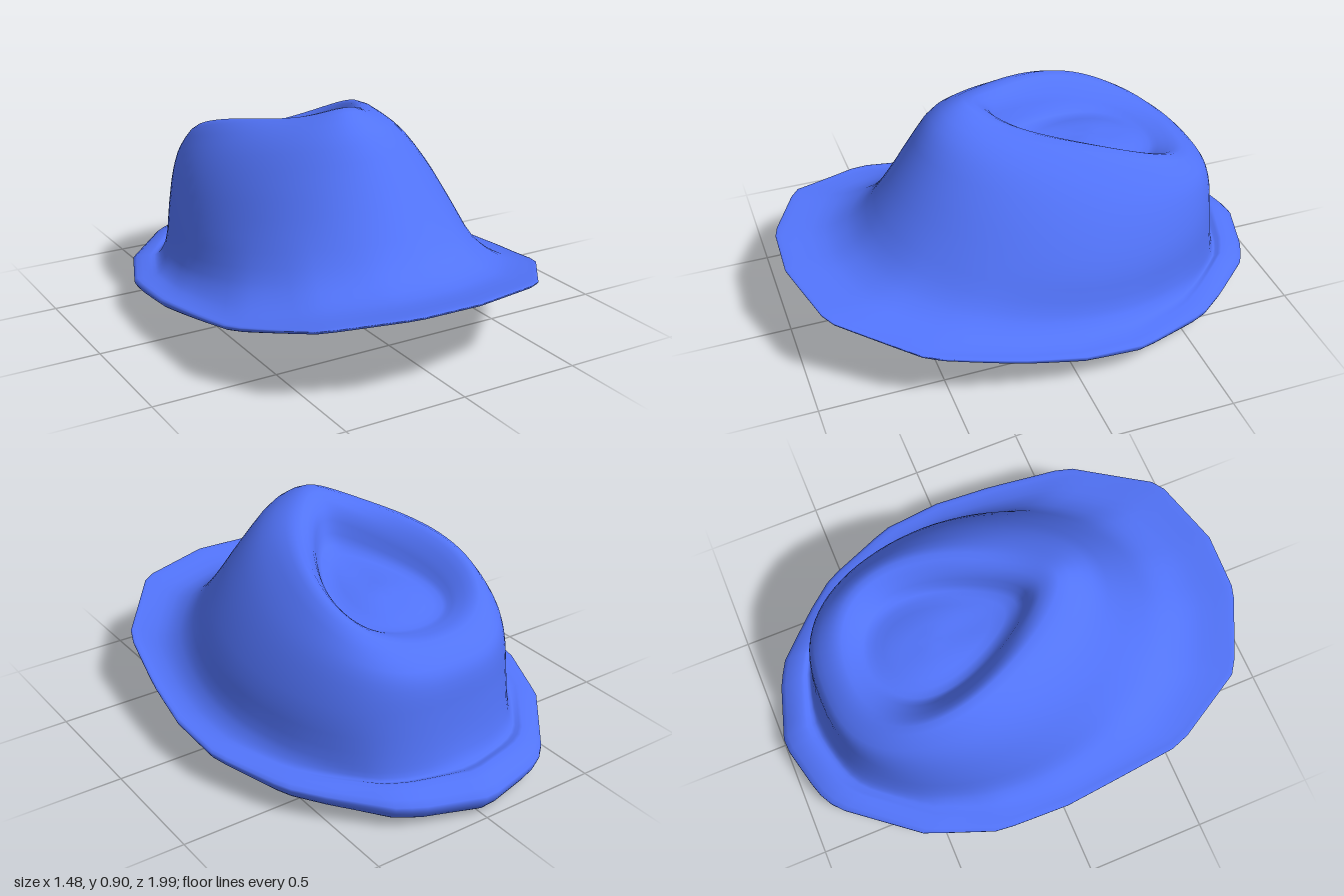
import * as THREE from 'three';
import { mergeVertices } from 'three/addons/utils/BufferGeometryUtils.js';

const SIDES = 80; // points around each ring
const STEPS = 3;  // smoothing steps between rings

// Corners of the uneven brim outline: x, z, from the front round by +x
const outline = [
  [0.06, 1], [0.385, 0.915], [0.64, 0.59], [0.71, 0.25], [0.74, 0], [0.725, -0.25],
  [0.605, -0.56], [0.5, -0.69], [0.33, -0.87], [0.24, -0.92], [-0.02, -1], [-0.27, -0.94],
  [-0.365, -0.89], [-0.61, -0.59], [-0.725, -0.3], [-0.74, 0], [-0.7, 0.52], [-0.515, 0.845],
  [-0.2, 0.99],
].map(([x, z]) => new THREE.Vector2(x / 0.74, z));

// Ring: half width, front z, back z, front y, side y, back y,
// taper (narrower in front), squareness of the back,
// share of the brim outline, extra height at the front tip (negative: back tip).
const lining = [
  [0.00, -0.25, -0.25, 0.625, 0.625, 0.625, 0, 0, 0, 0],
  [0.20, 0.08, -0.55, 0.66, 0.605, 0.56, 0.42, 0, 0, 0],
  [0.30, 0.20, -0.65, 0.80, 0.745, 0.57, 0.42, 0.12, 0, 0.06],
  [0.38, 0.32, -0.72, 0.79, 0.675, 0.52, 0.22, 0.2, 0, 0.02],
  [0.455, 0.43, -0.75, 0.66, 0.55, 0.45, 0.1, 0.2, 0, 0],
  [0.52, 0.535, -0.765, 0.50, 0.39, 0.34, 0.04, 0.2, 0, 0],
  [0.545, 0.62, -0.77, 0.37, 0.24, 0.18, 0, 0.2, 0.3, 0],
  [0.545, 0.68, -0.77, 0.305, 0.15, 0.09, 0, 0.15, 0.6, 0],
];
const brim = [
  [0.57, 0.72, -0.79, 0.305, 0.14, 0.075, 0, 0.1, 0.8, 0],
  [0.63, 0.84, -0.86, 0.315, 0.13, 0.05, 0, 0, 1, -0.02],
  [0.69, 0.96, -0.93, 0.335, 0.125, 0.04, 0, 0, 1, -0.04],
  [0.73, 0.995, -0.985, 0.342, 0.145, 0.075, 0, 0, 1, -0.035],
  [0.74, 1.00, -1.00, 0.352, 0.17, 0.12, 0, 0, 1, -0.03],
  [0.695, 0.965, -0.905, 0.352, 0.18, 0.15, 0, 0, 1, 0],
  [0.64, 0.81, -0.85, 0.335, 0.195, 0.135, 0, 0.1, 0.7, 0],
];
const crown = [
  [0.59, 0.68, -0.815, 0.39, 0.25, 0.19, 0, 0.2, 0.3, 0],
  [0.55, 0.565, -0.79, 0.53, 0.40, 0.36, 0.04, 0.2, 0, 0],
  [0.485, 0.46, -0.78, 0.69, 0.57, 0.48, 0.1, 0.2, 0, 0],
  [0.405, 0.355, -0.755, 0.82, 0.70, 0.54, 0.22, 0.2, 0, 0.02],
  // ridge around the teardrop crease
  [0.305, 0.22, -0.67, 0.83, 0.79, 0.605, 0.4, 0.12, 0, 0.07],
  [0.24, 0.12, -0.60, 0.82, 0.72, 0.605, 0.4, 0, 0, 0.02],
  // groove and the raised floor inside it
  [0.195, 0.06, -0.55, 0.70, 0.64, 0.60, 0.4, 0, 0, 0],
  [0.10, -0.11, -0.46, 0.66, 0.65, 0.625, 0.2, 0, 0, 0],
  [0.00, -0.30, -0.30, 0.655, 0.655, 0.655, 0, 0, 0, 0],
];

// Distance to the straight-edged outline in one direction, against a round one
function outlineReach(direction) {
  let reach = Infinity;
  outline.forEach((corner, i) => {
    const edge = outline[(i + 1) % outline.length].clone().sub(corner);
    const k = corner.cross(edge) / direction.cross(edge);
    if (k > 0) reach = Math.min(reach, k);
  });
  return reach;
}

function ringPoint([w, zf, zb, yf, ys, yb, taper, square, share, tip], t) {
  const s = Math.sin(t), c = Math.cos(t);
  const reach = 1 + share * (outlineReach(new THREE.Vector2(s, c)) - 1);
  const bulge = Math.pow(Math.abs(s), 1 + square * Math.min(c, 0));
  const d = c * reach;
  const y = ys + (yf - yb) / 2 * d + ((yf + yb) / 2 - ys) * d * d
    + tip * Math.pow(Math.max(0, Math.sign(tip) * d), 4);
  // the top of the crown leans a little to one side
  const lean = -0.08 * Math.max(0, y - 0.4);
  return new THREE.Vector3(
    Math.sign(s) * w * bulge * (1 - taper * c) * reach + lean,
    y,
    (zf + zb) / 2 + (zf - zb) / 2 * d
  );
}

// One continuous skin: inside, under the brim, round its edge, up the crown
function makeSkin(rings) {
  const rows = (rings.length - 1) * STEPS;
  const positions = [], index = [], columns = [];
  for (let j = 0; j < SIDES; j++) {
    const t = j / SIDES * Math.PI * 2;
    columns.push(new THREE.CatmullRomCurve3(rings.map(r => ringPoint(r, t))));
  }
  for (let i = 0; i <= rows; i++) {
    for (const column of columns) positions.push(...column.getPoint(i / rows).toArray());
  }
  for (let i = 0; i < rows; i++) {
    for (let j = 0; j < SIDES; j++) {
      const a = i * SIDES + j, b = i * SIDES + (j + 1) % SIDES;
      index.push(a, b, b + SIDES, a, b + SIDES, a + SIDES);
    }
  }
  const geometry = new THREE.BufferGeometry();
  geometry.setAttribute('position', new THREE.Float32BufferAttribute(positions, 3));
  geometry.setIndex(index);
  const merged = mergeVertices(geometry, 1e-5);
  merged.computeVertexNormals();
  return merged;
}

export function createModel() {
  const hat = new THREE.Group();
  hat.name = 'hat';
  const felt = new THREE.MeshStandardMaterial({ color: 0x5274fa });
  const skin = makeSkin([...lining, ...brim, ...crown]);
  const all = Array.from(skin.index.array);

  // Cut the skin into named parts that share their normals at the seams
  const perRing = STEPS * SIDES * 6;
  const seam1 = (lining.length - 1) * perRing;
  const seam2 = seam1 + brim.length * perRing;
  const addPart = (name, from, to) => {
    const part = new THREE.BufferGeometry();
    part.setAttribute('position', skin.attributes.position);
    part.setAttribute('normal', skin.attributes.normal);
    part.setIndex(all.slice(from, to));
    const mesh = new THREE.Mesh(part, felt);
    mesh.name = name;
    hat.add(mesh);
  };
  addPart('lining', 0, seam1);
  addPart('brim', seam1, seam2);
  addPart('crown', seam2, all.length);
  return hat;
}
